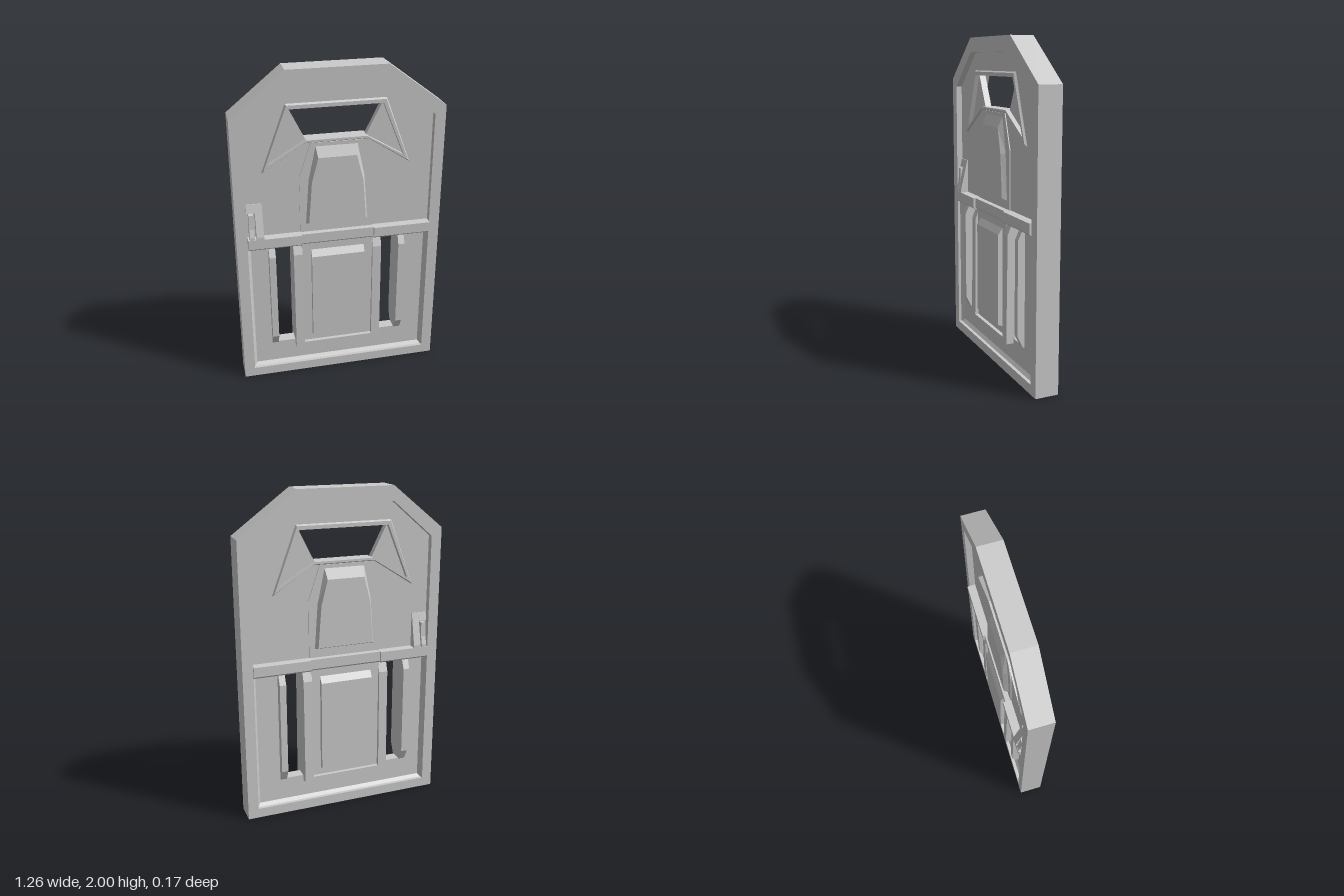
import * as THREE from 'three';

const material = new THREE.MeshStandardMaterial({ color: 0xcccccc, flatShading: true });
const CX = -0.015; // the inner decoration is centred slightly off the frame

// Right-hand outline points (bottom to top) mirrored into a counter-clockwise polygon
const sym = half => [
  ...half.map(([x, y]) => [CX + x, y]),
  ...half.slice().reverse().map(([x, y]) => [CX - x, y]),
];
const rect = (x0, x1, y0, y1) => [[x0, y0], [x1, y0], [x1, y1], [x0, y1]];
const toVectors = pts => pts.map(([x, y]) => new THREE.Vector2(x, y));

// Flat slab centred on z = 0, with optional holes
function slab(pts, holes, halfDepth) {
  const shape = new THREE.Shape(toVectors(pts));
  holes.forEach(h => shape.holes.push(new THREE.Path(toVectors(h))));
  const g = new THREE.ExtrudeGeometry(shape, { depth: 2 * halfDepth, bevelEnabled: false });
  return g.translate(0, 0, -halfDepth);
}

// Faces joining successive outlines [points, z], optionally closed by a flat front
function loft(rings, capped = false) {
  const pos = [];
  const put = ([x, y], z) => pos.push(x, y, z);
  for (let r = 0; r < rings.length - 1; r++) {
    const [a, za] = rings[r], [b, zb] = rings[r + 1];
    a.forEach((p, i) => {
      const j = (i + 1) % a.length;
      put(p, za); put(a[j], za); put(b[j], zb);
      put(p, za); put(b[j], zb); put(b[i], zb);
    });
  }
  if (capped) {
    const [pts, z] = rings[rings.length - 1];
    THREE.ShapeUtils.triangulateShape(toVectors(pts), []).forEach(t => t.forEach(i => put(pts[i], z)));
  }
  const g = new THREE.BufferGeometry();
  g.setAttribute('position', new THREE.Float32BufferAttribute(pos, 3));
  g.computeVertexNormals();
  return g;
}

// Side profile of [z, y] points swept from x0 to x1
function sweepX(profile, x0, x1) {
  const g = new THREE.ExtrudeGeometry(new THREE.Shape(toVectors(profile)), { depth: x1 - x0, bevelEnabled: false });
  return g.rotateY(-Math.PI / 2).translate(x1, 0, 0);
}

// Copy reflected to the back, with the corner order reversed
function reflectZ(geometry) {
  const g = geometry.clone();
  const p = g.attributes.position;
  const a = new THREE.Vector3(), b = new THREE.Vector3();
  g.scale(1, 1, -1);
  for (let i = 0; i < p.count; i += 3) {
    a.fromBufferAttribute(p, i + 1);
    b.fromBufferAttribute(p, i + 2);
    p.setXYZ(i + 1, b.x, b.y, b.z);
    p.setXYZ(i + 2, a.x, a.y, a.z);
  }
  g.computeVertexNormals();
  return g;
}

export function createModel() {
  const door = new THREE.Group();
  door.name = 'door';
  const add = (name, geometry) => {
    const mesh = new THREE.Mesh(geometry, material);
    mesh.name = name;
    door.add(mesh);
  };
  const addBoth = (name, geometry) => {
    add(name + 'Front', geometry);
    add(name + 'Back', reflectZ(geometry));
  };

  // Outer frame with clipped top corners
  const outer = [[-0.63, 0], [0.63, 0], [0.63, 1.74], [0.28, 2], [-0.31, 2], [-0.63, 1.74]];
  const inner = [[-0.565, 0.06], [0.565, 0.06], [0.565, 1.69], [0.28, 1.91], [-0.31, 1.91], [-0.565, 1.69]];
  add('frame', slab(outer, [inner], 0.072));

  // Recessed panel with the window and two lower openings cut out
  const windowOuter = sym([[0.19, 1.56], [0.445, 1.395], [0.295, 1.8]]);
  const windowRidge = sym([[0.187, 1.567], [0.433, 1.41], [0.289, 1.792]]);
  const windowInner = sym([[0.18, 1.58], [0.405, 1.445], [0.275, 1.77]]);
  const openings = [rect(-0.4, -0.28, 0.22, 0.925), rect(0.25, 0.37, 0.22, 0.925)];
  add('panel', slab(inner, [windowOuter, ...openings], 0.035));

  // Raised window surround and the triangles filling its ends
  addBoth('windowSurround', loft([[windowOuter, 0.035], [windowRidge, 0.048], [windowInner, 0.048], [windowInner, 0]]));
  for (const s of [-1, 1]) {
    const corner = [[0.275, 1.77], [0.405, 1.445], [0.18, 1.58]].map(([x, y]) => [CX + s * x, y]);
    add('windowFiller', slab(corner, [], 0.02));
  }

  // Bevelled moulding around the lower half
  addBoth('lowerMoulding', loft([
    [rect(-0.565, 0.565, 0.055, 0.935), 0.055],
    [rect(-0.545, 0.545, 0.08, 0.92), 0.035],
  ]));

  // Deep posts on the outer side of each opening, sloped at both ends
  for (const x of [-0.44, 0.37]) {
    addBoth('openingPost', sweepX(
      [[0, 0.22], [0.045, 0.22], [0.08, 0.29], [0.08, 0.86], [0.05, 0.925], [0, 0.925]], x, x + 0.04));
  }

  // Upper plinth and its raised tapered panel
  const plinth = sym([[0.225, 0.94], [0.225, 1.35], [0.155, 1.56]]);
  addBoth('upperPlinth', loft([[plinth, 0], [plinth, 0.041]], true));
  addBoth('upperRaisedPanel', loft([
    [sym([[0.19, 1.05], [0.17, 1.33], [0.125, 1.54]]), 0.04],
    [sym([[0.175, 1.062], [0.155, 1.32], [0.115, 1.475]]), 0.068],
  ], true));

  // Lower centre block: core, two side rails leaning out to a foot, and a raised panel
  addBoth('lowerCore', sweepX([[0, 0.2], [0.06, 0.2], [0.06, 0.925], [0, 0.925]], -0.24, 0.21));
  const rail = [[0, 0.19], [0.083, 0.19], [0.075, 0.86], [0.05, 0.925], [0, 0.925]];
  addBoth('lowerRailRight', sweepX(rail, -0.29, -0.235));
  addBoth('lowerRailLeft', sweepX(rail, 0.205, 0.26));
  addBoth('lowerFoot', sweepX([[0, 0.19], [0.083, 0.19], [0.083, 0.22], [0, 0.22]], -0.235, 0.205));
  addBoth('lowerRaisedPanel', sweepX(
    [[0.05, 0.265], [0.06, 0.265], [0.087, 0.275], [0.087, 0.84], [0.06, 0.88], [0.05, 0.88]], -0.18, 0.15));

  // Crossbar in three lengths, the middle one set back
  const bar = z => [[0, 0.925], [z - 0.01, 0.925], [z, 0.935], [z, 0.995], [0, 1]];
  addBoth('crossbarRight', sweepX(bar(0.086), -0.56, -0.24));
  addBoth('crossbarLeft', sweepX(bar(0.086), 0.21, 0.565));
  addBoth('crossbarMiddle', sweepX(bar(0.072), -0.24, 0.21));

  // Latch: sloping arm, hooked top and a small grip beside it
  addBoth('latchArm', sweepX([[0.02, 0.94], [0.086, 0.94], [0.086, 1.01], [0.04, 1.21], [0.02, 1.21]], -0.51, -0.465));
  addBoth('latchHook', sweepX([[0.02, 1.16], [0.052, 1.16], [0.04, 1.21], [0.02, 1.21]], -0.56, -0.51));
  addBoth('latchGrip', sweepX([[0.02, 0.96], [0.084, 0.96], [0.084, 1.01], [0.07, 1.06], [0.065, 1.15], [0.02, 1.15]], -0.55, -0.52));

  return door;
}
